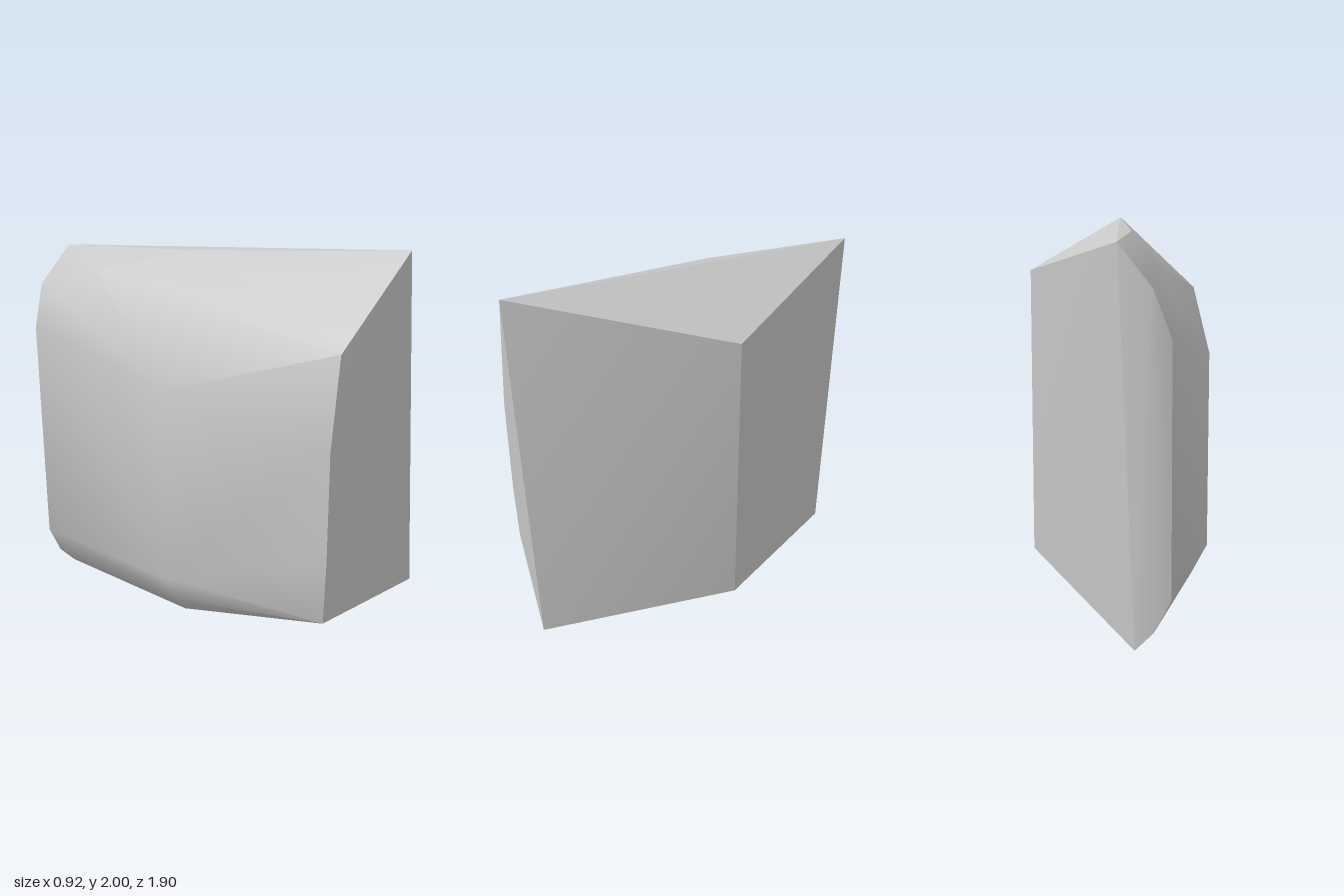
import * as THREE from 'three';
import { ConvexGeometry } from 'three/addons/geometries/ConvexGeometry.js';
import { toCreasedNormals } from 'three/addons/utils/BufferGeometryUtils.js';

export function createModel() {
  const group = new THREE.Group();
  group.name = 'rock';
  const stone = new THREE.MeshStandardMaterial({ color: 0xc6c6c6 });
  stone.name = 'grey stone';

  // Corners of the faceted boulder
  const corners = [
    // sharp right flank and peak
    [0.25, 2, 0.95], [0.458, 1.72, -0.11], [0.458, 0.233, -0.11], [0.458, 0.233, 0.92],
    // ridge and shoulder
    [-0.08, 1.92, -0.11], [-0.295, 1.79, -0.6],
    // front left edge
    [-0.21, 1.59, 0.9], [-0.295, 1.15, 0.92], [-0.295, 0.6, 0.92], [-0.295, 0.28, 0.91],
    // worn left flank, rounding under to the lowest point
    [-0.46, 1.3, 0.02], [-0.46, 0.28, 0.02], [-0.38, 0.125, 0.01], [-0.29, 0.03, 0], [-0.21, 0, 0],
    // back edge, top to bottom
    [-0.21, 1.875, -0.91], [-0.38, 1.68, -0.95], [-0.46, 1.46, -0.92],
    [-0.46, 0.28, -0.9], [-0.38, 0.125, -0.91], [-0.29, 0.03, -0.9],
  ].map((p) => new THREE.Vector3(...p));

  // Soft bends stay smooth, strong ones stay sharp
  const boulder = new THREE.Mesh(toCreasedNormals(new ConvexGeometry(corners), 0.52), stone);
  boulder.name = 'boulder';
  group.add(boulder);
  return group;
}
